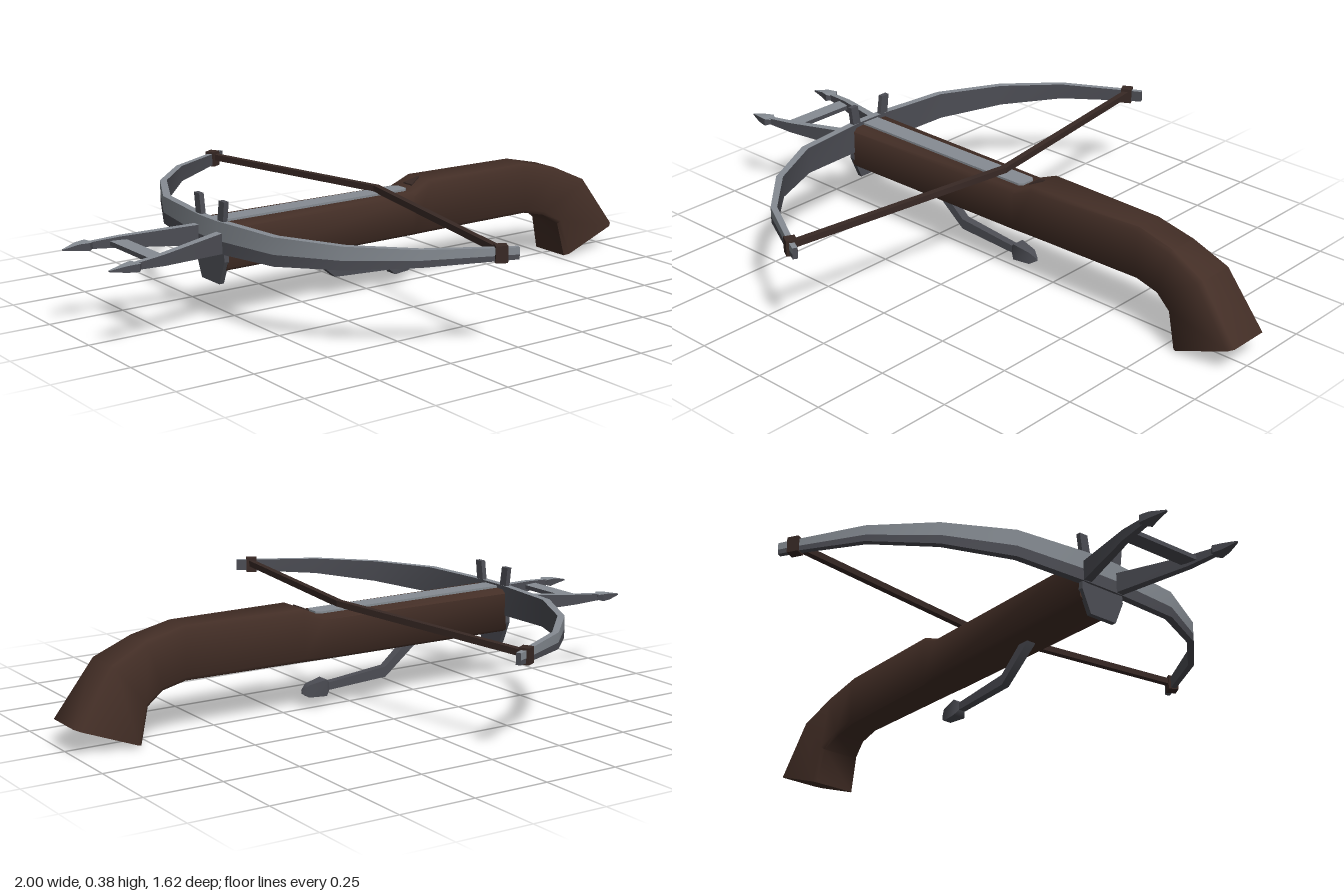
import * as THREE from 'three';
import { toCreasedNormals } from 'three/addons/utils/BufferGeometryUtils.js';

const V = (x, y, z) => new THREE.Vector3(x, y, z);
// Sections as [height, side] pairs, running from the top outer corner downwards
const BOX = [[1, 1], [-1, 1], [-1, -1], [1, -1]];
const BOW = [[1, 1], [-0.2, 1], [-1, 1], [-1, -1], [1, -1]];
const STOCK = [[1, 0.82], [0.84, 1], [-0.86, 1], [-1, 0.86],
  [-1, -0.86], [-0.86, -1], [0.84, -1], [1, -0.82]];

// Skin over stations of [top point, bottom point, half width];
// section sides listed in "lit" take the second material
function loft(stations, profile, lit = []) {
  const n = profile.length, pos = [], idx = [];
  const g = new THREE.BufferGeometry();
  const mids = stations.map(([t, b]) => t.clone().add(b).multiplyScalar(0.5));
  stations.forEach(([t, b, w], i) => {
    const dir = mids[Math.min(i + 1, mids.length - 1)].clone().sub(mids[Math.max(i - 1, 0)]);
    const up = t.clone().sub(b).multiplyScalar(0.5);
    const side = dir.cross(up).normalize().multiplyScalar(w);
    for (const [u, s] of profile) {
      const p = mids[i].clone().addScaledVector(up, u).addScaledVector(side, s);
      pos.push(p.x, p.y, p.z);
    }
  });
  const last = (stations.length - 1) * n;
  for (let i = 0; i < last; i += n) {
    for (let j = 0; j < n; j++) {
      const k = (j + 1) % n;
      g.addGroup(idx.length, 6, lit.includes(j) ? 1 : 0);
      idx.push(i + j, i + k, i + n + j, i + k, i + n + k, i + n + j);
    }
  }
  g.addGroup(idx.length, (n - 2) * 6, 0);
  for (let j = 1; j < n - 1; j++) idx.push(0, j + 1, j, last, last + j, last + j + 1);
  g.setAttribute('position', new THREE.Float32BufferAttribute(pos, 3));
  g.setIndex(idx);
  return toCreasedNormals(g, 0.9);
}

// Bar through points of [x, y, z, half height, half width]
const bar = (points, profile = BOX, lit = [3]) =>
  loft(points.map(([x, y, z, h, w]) => [V(x, y + h, z), V(x, y - h, z), w]), profile, lit);

const flatShape = (points) => new THREE.Shape(points.map(([x, y]) => new THREE.Vector2(x, y)));

export function createModel() {
  const group = new THREE.Group();
  const material = (name, color) => {
    const m = new THREE.MeshStandardMaterial({ color });
    m.name = name;
    return m;
  };
  const wood = material('dark wood', 0x432e26);
  const lightSteel = material('light steel', 0x868c93);
  const darkSteel = material('dark steel', 0x4c4d54);
  const cord = material('dark cord', 0x382925);
  const steel = [darkSteel, lightSteel];
  const add = (name, geometry, mat) => {
    const mesh = new THREE.Mesh(geometry, mat);
    mesh.name = name;
    group.add(mesh);
    return mesh;
  };

  // Stock with raised rear and curved pistol grip: topX, topY, bottomX, bottomY, half width
  const stock = [
    [-0.57, 0.31, -0.57, 0.17, 0.08], [0.14, 0.31, 0.14, 0.17, 0.07],
    [0.21, 0.34, 0.21, 0.17, 0.066], [0.62, 0.34, 0.62, 0.17, 0.056],
    [0.75, 0.31, 0.7, 0.152, 0.06], [0.87, 0.255, 0.757, 0.115, 0.075],
    [1, 0.083, 0.785, 0, 0.083],
  ].map(([tx, ty, bx, by, w]) => [V(tx, ty, 0), V(bx, by, 0), w]);
  add('stock', loft(stock, STOCK), wood);

  // Bolt rail on top, with clipped rear corners, and the notch behind it
  const rail = flatShape([[-0.585, -0.032], [0.13, -0.032], [0.142, -0.022],
    [0.142, 0.022], [0.13, 0.032], [-0.585, 0.032]]);
  const railMesh = add('boltRail',
    new THREE.ExtrudeGeometry(rail, { depth: 0.02, bevelEnabled: false }), lightSteel);
  railMesh.rotation.x = -Math.PI / 2;
  railMesh.position.y = 0.297;
  add('notch', bar([[0.165, 0.322, 0, 0.003, 0.022], [0.208, 0.3405, 0, 0.003, 0.004]], BOX, []), cord);

  // Bow: one sweep from tip to tip, deep at the middle, bright along the top and upper front
  const half = [
    [-0.578, 0.273, 0.05, 0.05, 0.012], [-0.548, 0.28, 0.31, 0.044, 0.012],
    [-0.445, 0.288, 0.51, 0.035, 0.011], [-0.295, 0.297, 0.665, 0.026, 0.01],
    [-0.095, 0.303, 0.777, 0.019, 0.009], [-0.048, 0.304, 0.801, 0.018, 0.008],
  ];
  const mirror = ([x, y, z, h, w]) => [x, y, -z, h, w];
  add('bow', bar([...half.slice().reverse().map(mirror), ...half], BOW, [0, 4]), steel);

  // Front plate with two upright prongs
  const plate = flatShape([[-0.05, 0.125], [0.05, 0.125], [0.082, 0.2], [0.075, 0.3],
    [0.086, 0.385], [0.056, 0.385], [0.045, 0.315], [-0.045, 0.315], [-0.056, 0.385],
    [-0.086, 0.385], [-0.075, 0.3], [-0.082, 0.2]]);
  const plateMesh = add('frontPlate',
    new THREE.ExtrudeGeometry(plate, { depth: 0.016, bevelEnabled: false }), darkSteel);
  plateMesh.rotation.y = -Math.PI / 2;
  plateMesh.position.x = -0.566;

  for (const s of [1, -1]) {
    const side = s > 0 ? 'left' : 'right';
    // Fork arm ending in a barbed point
    add(side + 'ForkArm', bar([
      [-0.57, 0.258, 0.06 * s, 0.033, 0.014], [-0.82, 0.258, 0.128 * s, 0.017, 0.011],
      [-0.93, 0.258, 0.144 * s, 0.009, 0.009]]), steel);
    add(side + 'ForkPoint', bar([
      [-0.905, 0.258, 0.141 * s, 0.008, 0.012], [-0.918, 0.258, 0.144 * s, 0.012, 0.024],
      [-0.95, 0.258, 0.146 * s, 0.01, 0.016], [-1, 0.256, 0.142 * s, 0.002, 0.003]]), steel);
    // Cord binding at the bow tip
    const binding = add(side + 'Binding', new THREE.BoxGeometry(0.036, 0.05, 0.034), cord);
    binding.position.set(-0.095, 0.304, 0.777 * s);
    binding.rotation.y = -0.5 * s;
    // Half of the drawn string
    add(side + 'String', bar([
      [-0.092, 0.31, 0.777 * s, 0.01, 0.01], [0.04, 0.326, -0.004 * s, 0.01, 0.01]], BOX, []), cord);
  }

  // Flat bar joining the fork arms
  add('forkCrossbar', bar([[-0.828, 0.258, -0.125, 0.007, 0.026],
    [-0.828, 0.258, 0.125, 0.007, 0.026]]), steel);

  // Trigger lever under the stock, ending in a pointed head
  add('triggerLever', bar([[-0.255, 0.185, 0, 0.019, 0.016], [-0.13, 0.081, 0, 0.017, 0.014],
    [0.1, 0.063, 0, 0.012, 0.012]], BOX, []), darkSteel);
  add('triggerHead', bar([[0.085, 0.064, 0, 0.012, 0.012], [0.1, 0.063, 0, 0.027, 0.022],
    [0.16, 0.058, 0, 0.02, 0.014], [0.18, 0.056, 0, 0.006, 0.004]], BOX, []), darkSteel);

  return group;
}
